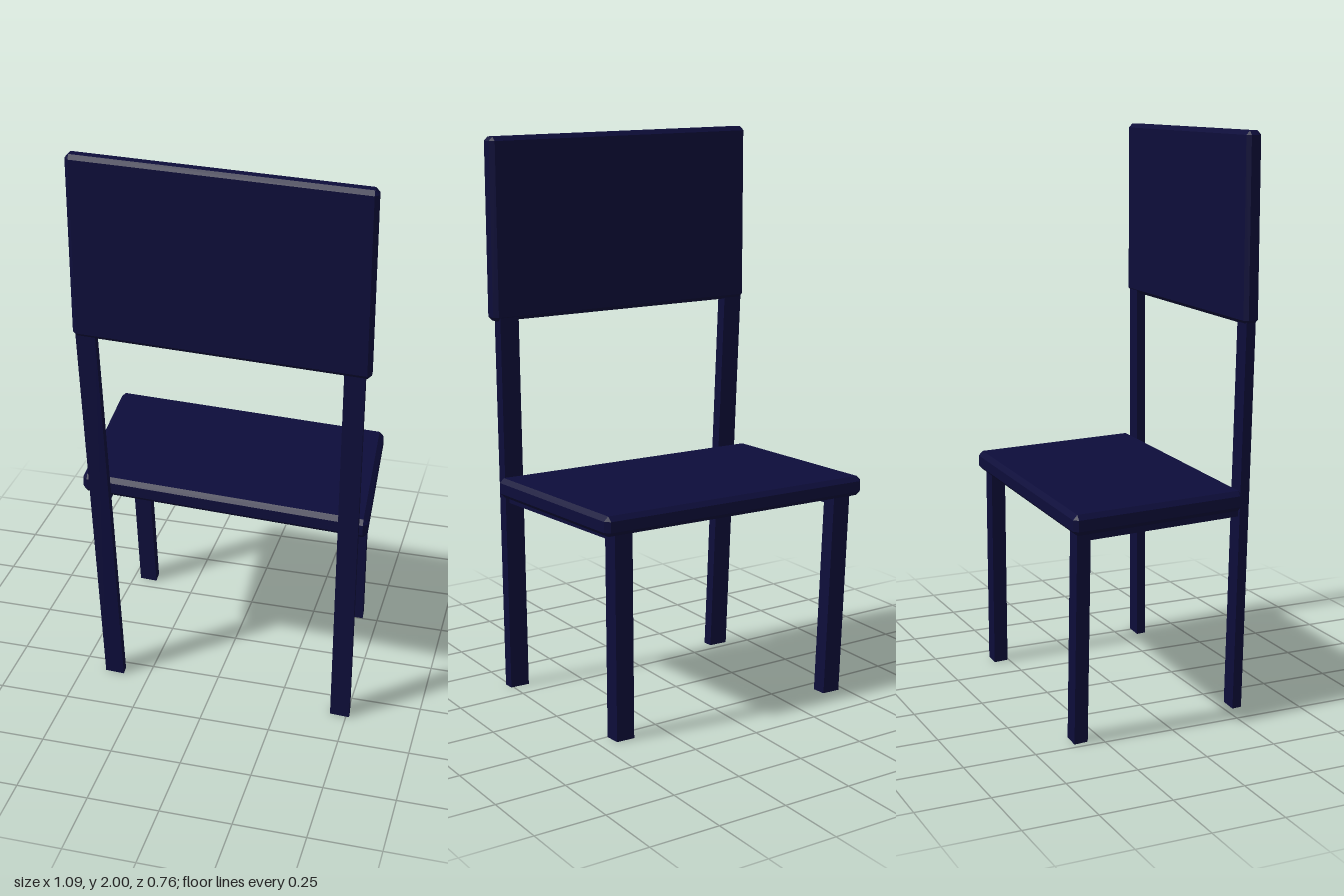
import * as THREE from 'three';
import { ConvexGeometry } from 'three/addons/geometries/ConvexGeometry.js';

// Plan skew shared by the whole chair: sides lean in z, front and back lean in x
const SKEW_X = 0.094;
const SKEW_Z = 0.053;

const material = new THREE.MeshStandardMaterial({ color: 0x0d0d3a, flatShading: true });

function addPart(group, name, geometry) {
  geometry.computeVertexNormals();
  const mesh = new THREE.Mesh(geometry, material);
  mesh.name = name;
  group.add(mesh);
}

// Move every vertex by a rule
function warp(geometry, rule) {
  const p = geometry.attributes.position;
  const v = new THREE.Vector3();
  for (let i = 0; i < p.count; i++) {
    v.fromBufferAttribute(p, i);
    rule(v);
    p.setXYZ(i, v.x, v.y, v.z);
  }
  return geometry;
}

// Board with all edges bevelled, skewed in plan; drop tilts it sideways
function board(size, centre, bevel, drop) {
  const half = size.map((s) => s / 2);
  const points = [];
  for (const sx of [-1, 1]) for (const sy of [-1, 1]) for (const sz of [-1, 1]) {
    for (let axis = 0; axis < 3; axis++) {
      const c = [sx, sy, sz].map((s, i) => s * (half[i] - (i === axis ? 0 : bevel)) + centre[i]);
      points.push(new THREE.Vector3(...c));
    }
  }
  return warp(new ConvexGeometry(points), (v) => {
    v.set(v.x + SKEW_X * v.z, v.y - drop * v.x, v.z + SKEW_Z * v.x);
  });
}

// Upright bar with level ends, leaning from bottom x to top x
function upright(width, depth, height, xBottom, xTop, z) {
  return warp(new THREE.BoxGeometry(width, height, depth), (v) => {
    const t = v.y / height + 0.5;
    const x = v.x, w = v.z;
    v.set(
      x + SKEW_X * w + xBottom + (xTop - xBottom) * t,
      v.y + height / 2,
      w + SKEW_Z * x + z
    );
  });
}

// Level bar running from (x0, z0) to (x1, z1)
function rail(width, y0, y1, [x0, z0], [x1, z1]) {
  return warp(new THREE.BoxGeometry(width, y1 - y0, 1), (v) => {
    const t = v.z + 0.5;
    v.set(
      v.x + x0 + (x1 - x0) * t,
      v.y + (y0 + y1) / 2,
      z0 + (z1 - z0) * t + SKEW_Z * v.x
    );
  });
}

export function createModel() {
  const chair = new THREE.Group();
  chair.name = 'chair';

  // Seat and backrest boards
  addPart(chair, 'seat', board([1.03, 0.07, 0.65], [0, 0.765, -0.026], 0.016, 0.003));
  addPart(chair, 'backrest', board([1.022, 0.635, 0.058], [0, 1.678, 0.323], 0.014, 0.008));

  // Tall posts that carry the backrest
  addPart(chair, 'rightPost', upright(0.07, 0.036, 1.4, -0.38, -0.438, 0.298));
  addPart(chair, 'leftPost', upright(0.07, 0.036, 1.4, 0.475, 0.485, 0.339));

  // Short legs under the open side of the seat
  addPart(chair, 'rightLeg', upright(0.066, 0.05, 0.735, -0.442, -0.472, -0.325));
  addPart(chair, 'leftLeg', upright(0.066, 0.054, 0.735, 0.408, 0.41, -0.28));

  // Side rails just below the seat
  addPart(chair, 'rightRail', rail(0.045, 0.7, 0.735, [-0.47, -0.31], [-0.41, 0.29]));
  addPart(chair, 'leftRail', rail(0.045, 0.7, 0.735, [0.41, -0.27], [0.478, 0.33]));

  return chair;
}
